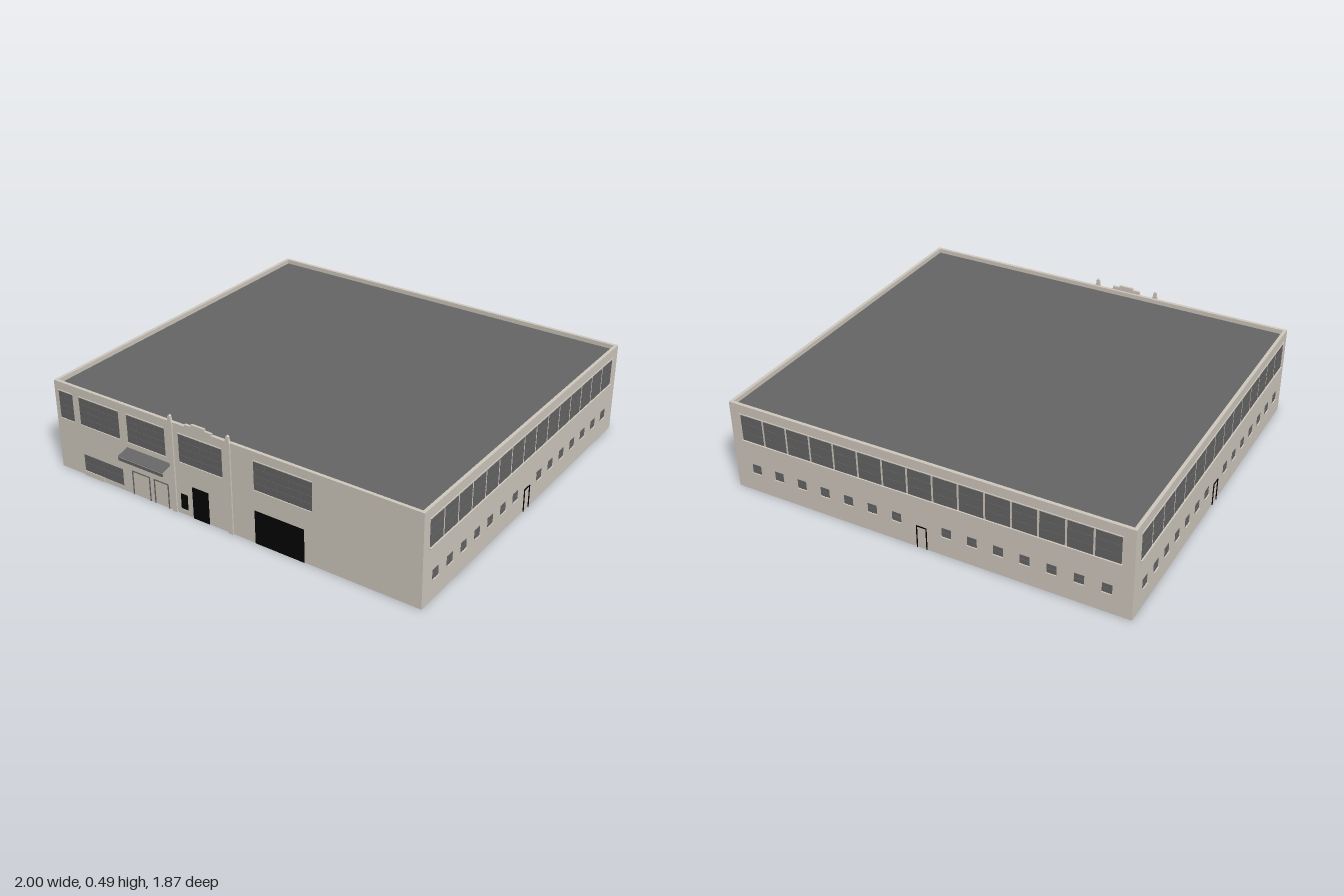
import * as THREE from 'three';

const mat = (name, color) => {
  const m = new THREE.MeshStandardMaterial({ color });
  m.name = name;
  return m;
};

export function createModel() {
  const wall = mat('wall stone', 0xd1cac0);
  const grey = mat('dark grey', 0x666666);
  const black = mat('black', 0x030303);
  const model = new THREE.Group();
  model.name = 'building';

  // Box given by its limits on each axis
  const box = (parent, name, m, x0, x1, y0, y1, z0, z1) => {
    const mesh = new THREE.Mesh(new THREE.BoxGeometry(x1 - x0, y1 - y0, z1 - z0), m);
    mesh.position.set((x0 + x1) / 2, (y0 + y1) / 2, (z0 + z1) / 2);
    mesh.name = name;
    parent.add(mesh);
    return mesh;
  };
  const group = (name, x, z, turn) => {
    const g = new THREE.Group();
    g.name = name;
    g.position.set(x, 0, z);
    g.rotation.y = turn;
    model.add(g);
    return g;
  };

  const H = 0.455, X = 0.99, B = -0.93, F = 0.87, T = 0.016;

  // Glass plate with slim glazing bars; the wall plane is z = 0
  const glazing = (g, name, x0, x1, y0, y1, cols, rows) => {
    box(g, name, grey, x0, x1, y0, y1, -0.001, 0.001);
    const b = 0.0015;
    for (let i = 1; i < cols; i++) {
      const x = x0 + (x1 - x0) * i / cols;
      box(g, 'glazingBar', grey, x - b, x + b, y0, y1, 0.001, 0.0025);
    }
    for (let i = 1; i < rows; i++) {
      const y = y0 + (y1 - y0) * i / rows;
      box(g, 'glazingBar', grey, x0, x1, y - b, y + b, 0.001, 0.0025);
    }
  };
  // Thin dark door frame reaching through the wall
  const doorFrame = (g, m, x0, x1, h) => {
    const t = 0.004, z0 = -T - 0.002, z1 = 0.004;
    box(g, 'doorJamb', m, x0, x0 + t, 0, h, z0, z1);
    box(g, 'doorJamb', m, x1 - t, x1, 0, h, z0, z1);
    box(g, 'doorHead', m, x0 + t, x1 - t, h - t, h, z0, z1);
  };
  // Dark door leaf, grey on the inside
  const darkDoor = (g, name, x0, x1, h) => {
    box(g, name, black, x0, x1, 0, h, -0.002, 0.003);
    box(g, name + 'Inside', grey, x0, x1, 0, h, -T - 0.002, -T + 0.002);
  };

  // Open-bottomed shell, sunken roof and pale ceiling
  box(model, 'frontWall', wall, -X, X, 0, H, F - T, F);
  box(model, 'backWall', wall, -X, X, 0, H, B, B + T);
  box(model, 'leftWall', wall, X - T, X, 0, H, B + T, F - T);
  box(model, 'rightWall', wall, -X, -X + T, 0, H, B + T, F - T);
  box(model, 'roof', grey, -X + T, X - T, 0.428, 0.433, B + T, F - T);
  box(model, 'ceiling', wall, -X + T, X - T, 0.423, 0.428, B + T, F - T);

  // Side and back walls: 15 bays, the middle one with a door
  const bays = (g, pitch) => {
    for (let i = -7; i <= 7; i++) {
      const x = i * pitch, w = pitch / 2 - 0.005;
      glazing(g, 'upperWindow', x - w, x + w, 0.27, 0.405, 1, 3);
      if (i === 0) doorFrame(g, black, -0.026, 0.026, 0.115);
      else {
        glazing(g, 'smallWindow', x - 0.023, x + 0.023, 0.102, 0.147, 2, 2);
        box(g, 'smallSill', wall, x - 0.024, x + 0.024, 0.098, 0.102, 0, 0.007);
      }
    }
    const half = 7.5 * pitch;
    box(g, 'upperSill', wall, -half, half, 0.264, 0.27, 0, 0.008);
    box(g, 'upperLintel', wall, -half, half, 0.405, 0.409, 0, 0.004);
  };
  bays(group('leftFacade', X, -0.024, Math.PI / 2), 0.1135);
  bays(group('rightFacade', -X, -0.024, -Math.PI / 2), 0.1135);
  bays(group('backFacade', 0, B, Math.PI), 0.125);

  // Front windows
  const front = group('frontFacade', 0, F, 0);
  for (const [x0, x1, cols] of [[-0.965, -0.88, 2], [-0.84, -0.6, 4], [-0.55, -0.33, 4],
    [-0.25, -0.01, 4], [0.16, 0.46, 5]]) {
    glazing(front, 'frontWindow', x0, x1, 0.27, 0.41, cols, 4);
    box(front, 'frontSill', wall, x0, x1, 0.265, 0.27, 0, 0.006);
    box(front, 'frontLintel', wall, x0, x1, 0.41, 0.414, 0, 0.004);
  }
  glazing(front, 'shopWindow', -0.84, -0.6, 0.025, 0.11, 4, 2);
  box(front, 'shopPlinth', wall, -0.84, -0.72, 0, 0.025, 0, 0.005);

  // Front doors
  doorFrame(front, grey, -0.54, -0.435, 0.125);
  doorFrame(front, grey, -0.41, -0.325, 0.125);
  box(front, 'noticeBoard', black, -0.253, -0.216, 0.03, 0.105, 0, 0.003);
  darkDoor(front, 'entranceDoor', -0.185, -0.095, 0.16);
  darkDoor(front, 'garageDoor', 0.16, 0.417, 0.165);

  // Entrance bay: pilasters with tapered finials and a stepped crest
  for (const x of [-0.29, 0.028]) {
    box(front, 'pilaster', wall, x - 0.012, x + 0.012, 0, H, 0, 0.008);
    const s = new THREE.Shape();
    s.moveTo(-0.014, 0);
    s.lineTo(0.014, 0);
    s.quadraticCurveTo(0.008, 0.01, 0.007, 0.03);
    s.lineTo(0, 0.036);
    s.lineTo(-0.007, 0.03);
    s.quadraticCurveTo(-0.008, 0.01, -0.014, 0);
    const finial = new THREE.Mesh(
      new THREE.ExtrudeGeometry(s, { depth: 0.012, bevelEnabled: false, curveSegments: 5 }), wall);
    finial.name = 'finial';
    finial.position.set(x, H, -0.004);
    front.add(finial);
  }
  box(front, 'crestBase', wall, -0.205, -0.057, H, 0.471, -0.004, 0.008);
  box(front, 'crestTop', wall, -0.168, -0.094, 0.471, 0.481, -0.004, 0.008);

  // Awning: sloped sheet with a valance hung just below its edge
  const slope = new THREE.Mesh(
    new THREE.BoxGeometry(0.26, 0.002, Math.hypot(0.062, 0.016)), grey);
  slope.name = 'awningSlope';
  slope.position.set(-0.43, 0.231, 0.031);
  slope.rotation.x = Math.atan2(0.016, 0.062);
  front.add(slope);
  box(front, 'awningValance', grey, -0.56, -0.3, 0.202, 0.217, 0.059, 0.062);

  return model;
}
